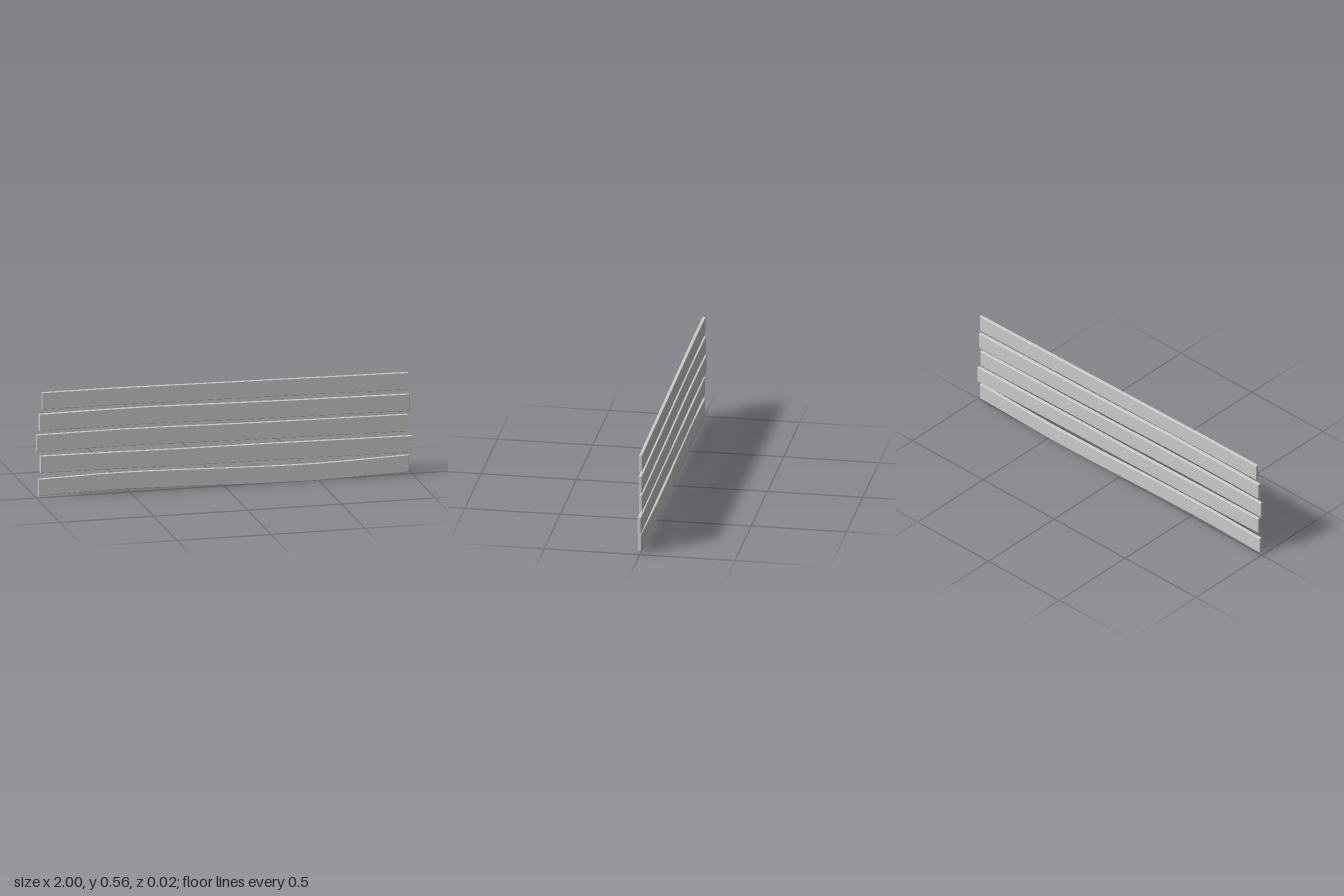
import * as THREE from 'three';

const HEIGHT = 0.09; // board width from lower to upper edge
const BEVEL = 0.002;

// Each board: centre z, thickness, and [x, lower edge y] along its slightly warped length
const BOARDS = [
  { z: 0.0025, depth: 0.017, path: [[-0.99, 0.012], [-0.66, 0.02], [-0.5, 0.02], [-0.2, 0.014], [0.1, 0.005], [0.33, 0.001], [0.5, 0], [0.7, 0.005], [0.983, 0.014]] },
  { z: 0.0015, depth: 0.018, path: [[-0.98, 0.135], [-0.6, 0.131], [-0.2, 0.126], [0.33, 0.123], [0.66, 0.119], [1, 0.115]] },
  { z: -0.002, depth: 0.017, path: [[-1, 0.248], [-0.57, 0.25], [-0.3, 0.247], [0.1, 0.239], [0.5, 0.235], [0.977, 0.23]] },
  { z: -0.001, depth: 0.019, path: [[-0.985, 0.358], [-0.66, 0.361], [-0.4, 0.361], [0, 0.353], [0.33, 0.347], [0.988, 0.338]] },
  { z: -0.0025, depth: 0.017, path: [[-0.97, 0.472], [-0.6, 0.472], [-0.2, 0.467], [0.3, 0.461], [0.98, 0.453]] },
];

function boardGeometry({ z, depth, path }) {
  // Outline is inset so the bevel brings it back to full size
  const last = path.length - 1;
  const inset = path.map(([x, y], i) =>
    [x + (i === 0 ? BEVEL : i === last ? -BEVEL : 0), y]);
  const lower = inset.map(([x, y]) => new THREE.Vector2(x, y + BEVEL));
  const upper = inset.map(([x, y]) => new THREE.Vector2(x, y + HEIGHT - BEVEL)).reverse();
  const core = depth - 2 * BEVEL;
  const geometry = new THREE.ExtrudeGeometry(new THREE.Shape([...lower, ...upper]), {
    depth: core,
    bevelEnabled: true,
    bevelSize: BEVEL,
    bevelThickness: BEVEL,
    bevelSegments: 1,
  });
  geometry.translate(0, 0, z - core / 2);
  return geometry;
}

export function createModel() {
  const model = new THREE.Group();
  model.name = 'plankPanel';
  const material = new THREE.MeshStandardMaterial({ color: 0xcccccc, flatShading: true });

  // Five horizontal boards, bottom to top
  BOARDS.forEach((board, i) => {
    const mesh = new THREE.Mesh(boardGeometry(board), material);
    mesh.name = `board${i + 1}`;
    model.add(mesh);
  });
  return model;
}
